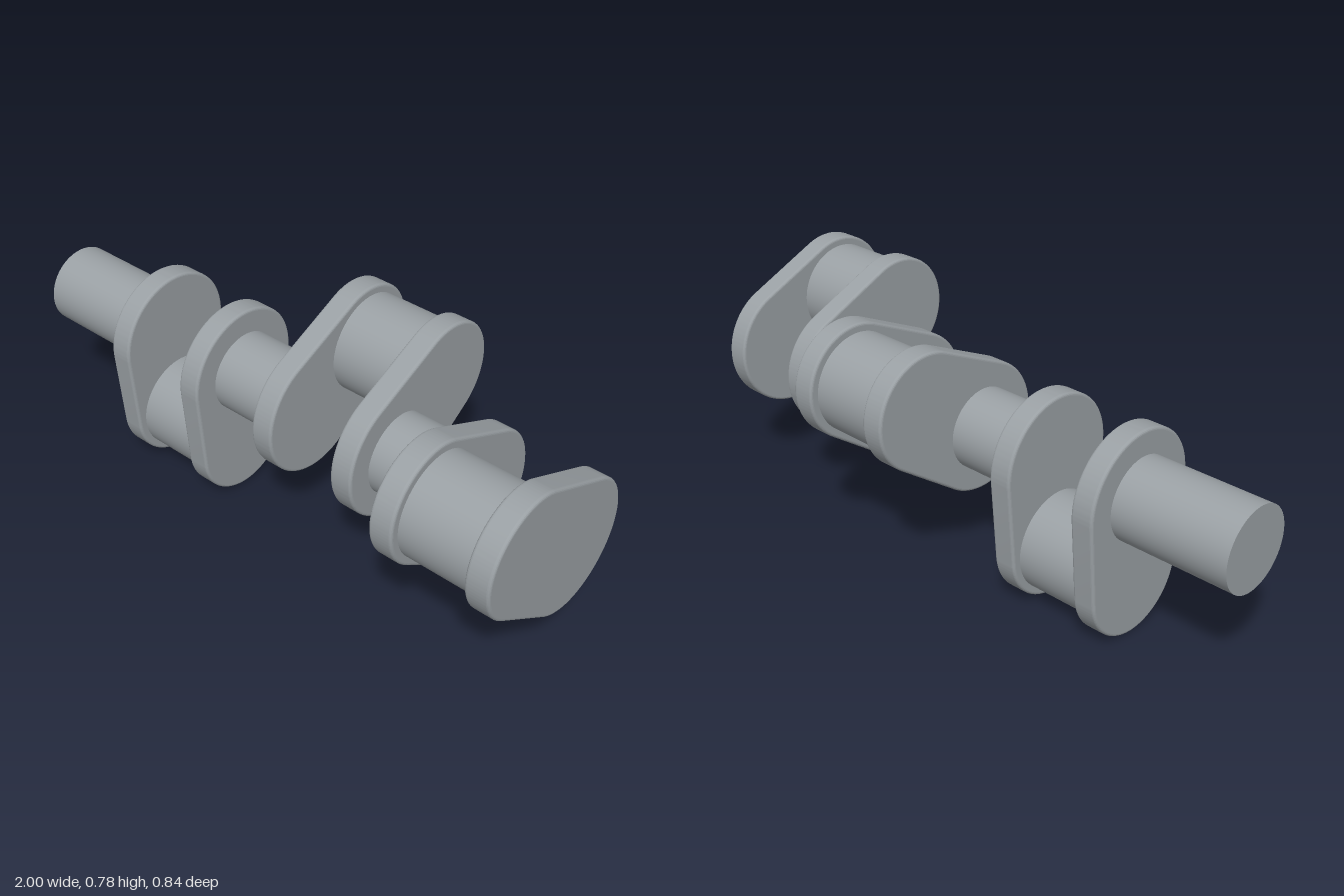
import * as THREE from 'three';
import { toCreasedNormals } from 'three/addons/utils/BufferGeometryUtils.js';

const UNIT = 1 / 13;      // web thickness
const AXIS_Y = 0.455;     // height of the shaft axis
const THROW = 0.267;      // crank pin offset from the axis
const MAIN_R = 0.132, PIN_R = 0.161;
const WEB_MAIN_R = 0.212, WEB_PIN_R = 0.188;
const BEVEL = 0.009;

// Tapered web plate: two arcs joined by their tangents, rounded at the rims
function webGeometry() {
  const a = Math.asin((WEB_MAIN_R - WEB_PIN_R) / THROW);
  const shape = new THREE.Shape();
  shape.absarc(0, THROW, WEB_PIN_R, a, Math.PI - a, false);
  shape.absarc(0, 0, WEB_MAIN_R, Math.PI - a, 2 * Math.PI + a, false);
  shape.closePath();
  const geo = new THREE.ExtrudeGeometry(shape, {
    depth: UNIT - 2 * BEVEL, curveSegments: 48, bevelEnabled: true,
    bevelThickness: BEVEL, bevelSize: BEVEL, bevelOffset: -BEVEL, bevelSegments: 4,
  });
  geo.translate(0, 0, BEVEL - UNIT / 2);
  geo.rotateY(Math.PI / 2);
  return toCreasedNormals(geo, 0.15);
}

export function createModel() {
  const group = new THREE.Group();
  const steel = new THREE.MeshStandardMaterial({ color: 0x9aa0a4 });
  steel.name = 'steel grey';
  const webGeo = webGeometry();

  // Cylinder lying along x between x0 and x1
  function journal(name, parent, radius, x0, x1, y) {
    const geo = new THREE.CylinderGeometry(radius, radius, x1 - x0, 72);
    geo.rotateZ(Math.PI / 2);
    const mesh = new THREE.Mesh(geo, steel);
    mesh.name = name;
    mesh.position.set((x0 + x1) / 2, y, 0);
    parent.add(mesh);
  }

  // Main journals and throws follow each other along the shaft
  const mainLengths = [5, 3, 3];
  const angles = [Math.PI, -Math.PI / 3, Math.PI / 3];
  let x = -1;
  mainLengths.forEach((len, i) => {
    journal('mainJournal' + (i + 1), group, MAIN_R, x, x + len * UNIT, AXIS_Y);
    x += len * UNIT;

    // One throw: two webs with the crank pin between them
    const crank = new THREE.Group();
    crank.name = 'crankThrow' + (i + 1);
    crank.position.set(x, AXIS_Y, 0);
    crank.rotation.x = angles[i];
    for (const [name, at] of [['rightWeb', 0.5], ['leftWeb', 4.5]]) {
      const web = new THREE.Mesh(webGeo, steel);
      web.name = name;
      web.position.x = at * UNIT;
      crank.add(web);
    }
    journal('crankPin', crank, PIN_R, UNIT, 4 * UNIT, THROW);
    group.add(crank);
    x += 5 * UNIT;
  });

  return group;
}
